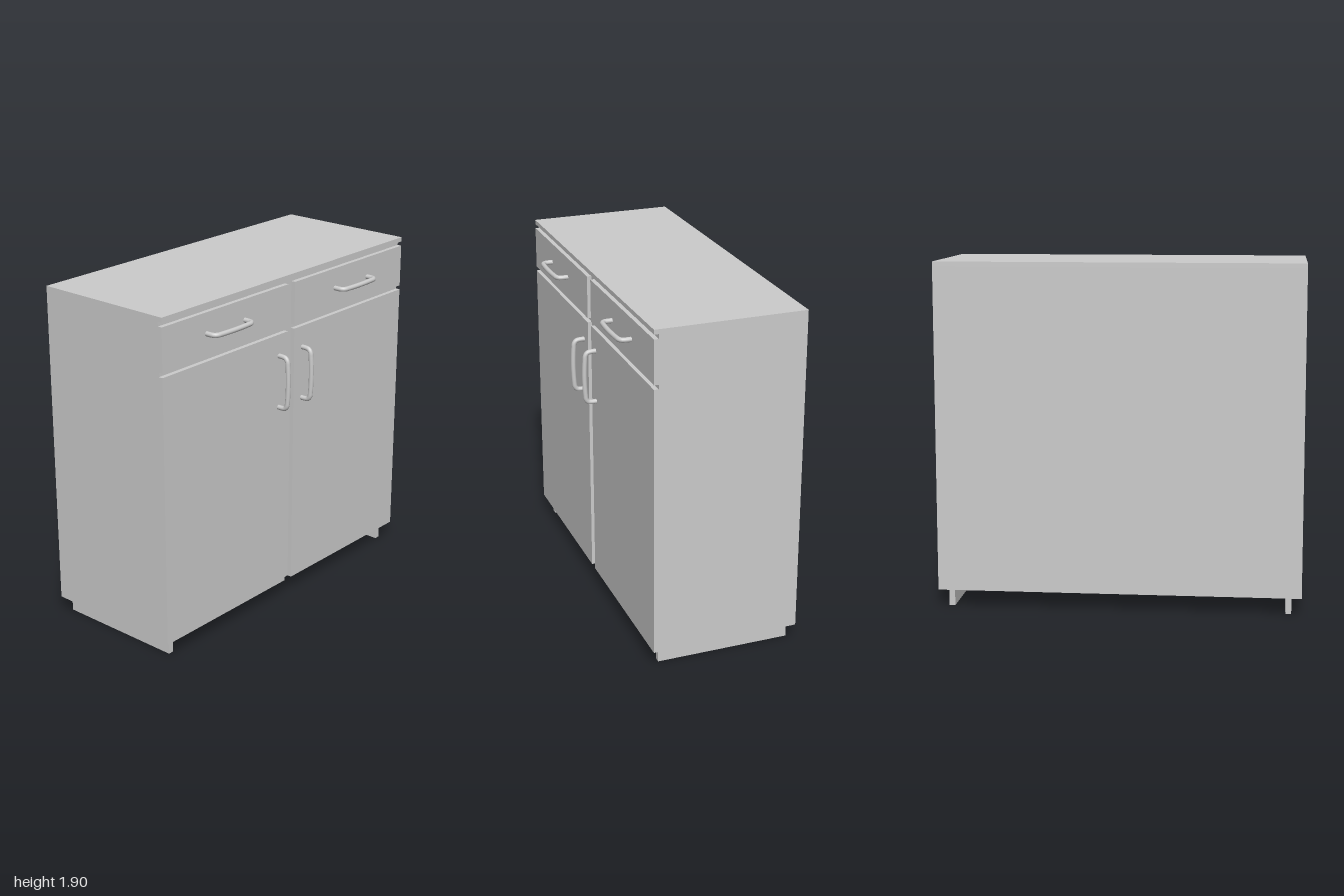
import * as THREE from 'three';

const material = new THREE.MeshStandardMaterial({ color: 0xcccccc });
const FRONT = 0.37, RECESS = 0.345, BACK = -0.45;

// Box given by its extents on each axis
function box(name, [x0, x1], [y0, y1], [z0, z1]) {
  const mesh = new THREE.Mesh(new THREE.BoxGeometry(x1 - x0, y1 - y0, z1 - z0), material);
  mesh.name = name;
  mesh.position.set((x0 + x1) / 2, (y0 + y1) / 2, (z0 + z1) / 2);
  return mesh;
}

// Slightly bowed pull handle lying along x, its feet on z = 0
function handleGeometry() {
  const half = [[0.147, -0.005], [0.147, 0.025], [0.143, 0.046], [0.128, 0.058], [0.1, 0.062]];
  const points = [
    ...half.map(([x, z]) => new THREE.Vector3(-x, 0, z)),
    new THREE.Vector3(0, 0, 0.066),
    ...half.reverse().map(([x, z]) => new THREE.Vector3(x, 0, z)),
  ];
  return new THREE.TubeGeometry(new THREE.CatmullRomCurve3(points), 48, 0.0135, 12);
}

export function createModel() {
  const group = new THREE.Group();
  group.name = 'cabinet';

  // Carcass and worktop edge; the seams between the fronts show the recess
  group.add(box('carcass', [-1, 1], [0.095, 1.88], [BACK, RECESS]));
  group.add(box('top', [-1, 1], [1.88, 1.905], [BACK, FRONT]));

  const pull = handleGeometry();
  for (const side of [1, -1]) {
    const label = side > 0 ? 'left' : 'right';
    const span = side > 0 ? [0.028, 1] : [-1, -0.028];
    const rail = side > 0 ? [0.913, 0.945] : [-0.945, -0.913];

    // Door, drawer front and base rail
    group.add(box(label + 'Door', span, [0.095, 1.593], [RECESS, FRONT]));
    group.add(box(label + 'DrawerFront', span, [1.617, 1.855], [RECESS, FRONT]));
    group.add(box(label + 'BaseRail', rail, [0, 0.095], [-0.42, 0.325]));

    // Handles: horizontal on the drawer, vertical on the door
    const drawerHandle = new THREE.Mesh(pull, material);
    drawerHandle.name = label + 'DrawerHandle';
    drawerHandle.position.set(side * 0.527, 1.742, FRONT);
    const doorHandle = new THREE.Mesh(pull, material);
    doorHandle.name = label + 'DoorHandle';
    doorHandle.position.set(side * 0.099, 1.325, FRONT);
    doorHandle.rotation.z = Math.PI / 2;
    group.add(drawerHandle, doorHandle);
  }
  return group;
}
